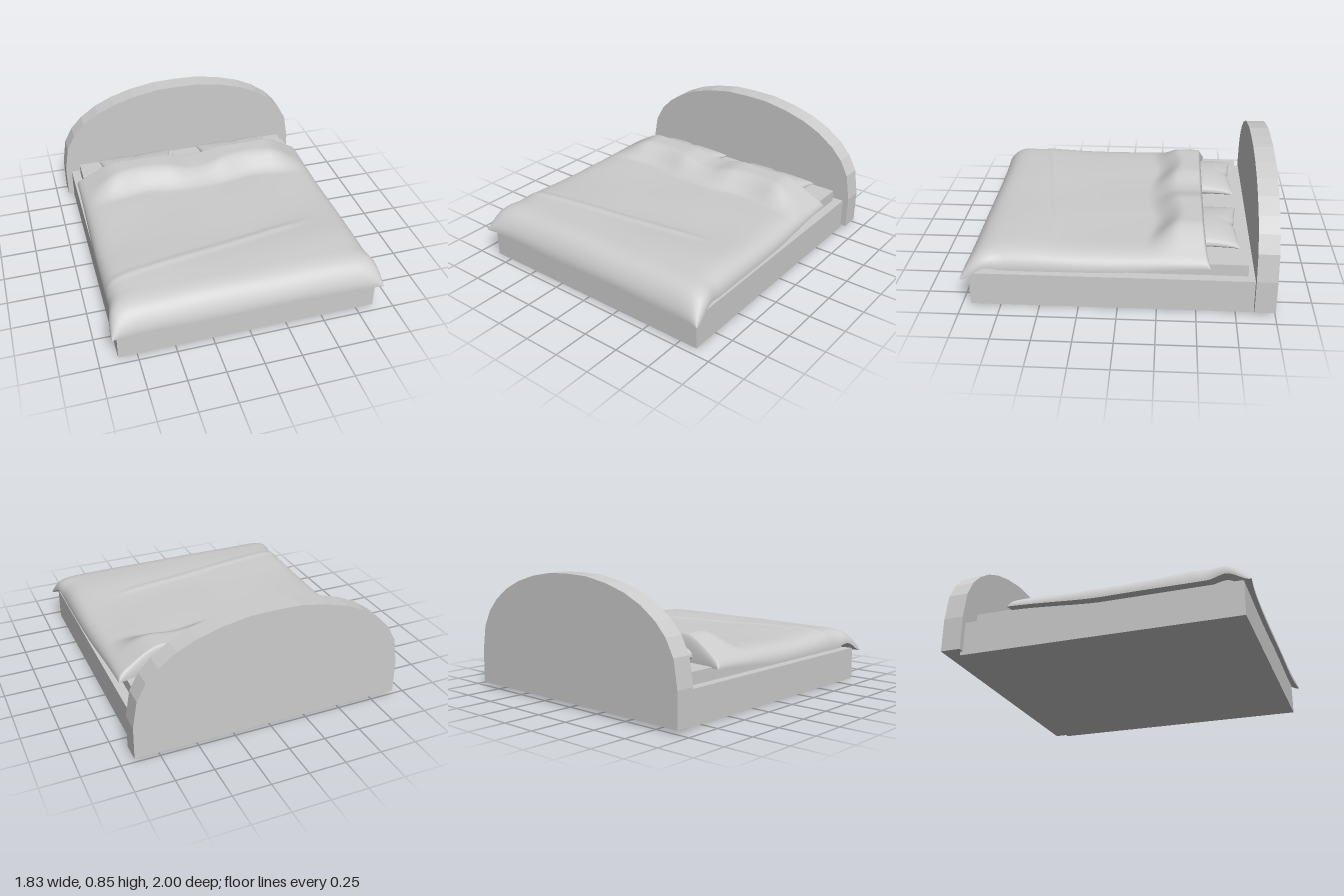
import * as THREE from 'three';

const { smoothstep, lerp } = THREE.MathUtils;
const gauss = (d, w) => Math.exp(-(d * d) / (w * w));

// Smooth grid surface from a rule (i, j in 0..1); i runs along +x, j along +z
function surface(nu, nv, rule, faceDown = false) {
  const pos = [], idx = [];
  for (let j = 0; j <= nv; j++)
    for (let i = 0; i <= nu; i++) pos.push(...rule(i / nu, j / nv));
  for (let j = 0; j < nv; j++)
    for (let i = 0; i < nu; i++) {
      const a = j * (nu + 1) + i, b = a + 1, c = a + nu + 1, d = c + 1;
      if (faceDown) idx.push(a, b, c, b, d, c);
      else idx.push(a, c, b, b, c, d);
    }
  const g = new THREE.BufferGeometry();
  g.setAttribute('position', new THREE.Float32BufferAttribute(pos, 3));
  g.setIndex(idx);
  g.computeVertexNormals();
  return g;
}

// Piecewise linear lookup in [x, y] pairs, eased between the points
function lookup(table, x) {
  for (let k = 1; k < table.length; k++) {
    const [x0, y0] = table[k - 1], [x1, y1] = table[k];
    if (x <= x1) return lerp(y0, y1, smoothstep(x, x0, x1));
  }
  return table[table.length - 1][1];
}

// Duvet: lower hem height along the bed
const HEAD = -0.555, FOOT = 0.975;
const HEM = [[-0.6, 0.3], [0.1, 0.258], [0.72, 0.256], [0.82, 0.275], [0.97, 0.202]];

// Duvet: upper height, raised over the two pillows, with soft folds
function duvetHeight(x, z) {
  const ax = Math.abs(x);
  const overPillows = (1 - smoothstep(ax, 0.56, 0.86)) * (0.62 + 0.38 * smoothstep(ax, 0.02, 0.24));
  const start = -0.17 - 0.05 * gauss(ax - 0.4, 0.2);
  const rise = 1 - smoothstep(z, start - 0.2, start);
  const foldLine = z - (0.5 - 0.16 * x);
  return 0.376 + 0.105 * overPillows * rise
    + 0.014 * gauss(z - 0.62, 0.22)
    + 0.007 * gauss(foldLine, 0.025) * smoothstep(0.65 - x, 0, 0.3)
    + 0.003 * Math.sin(x * 7 + z * 3) * Math.cos(z * 6 - x * 2);
}

function duvetPoint(i, j, top) {
  const s = Math.sin((i - 0.5) * Math.PI);
  // Rows gather at the rounded head and foot ends
  let z;
  if (j < 0.1) z = HEAD + 0.03 * (1 - Math.cos(j * 5 * Math.PI));
  else if (j > 0.8) z = FOOT - 0.2 * (1 - Math.sin((1 - (j - 0.8) / 0.2 + 0) * Math.PI / 2 + Math.PI / 2));
  else z = lerp(HEAD + 0.03, FOOT - 0.2, (j - 0.1) / 0.7);
  if (j > 0.8) z = FOOT - 0.2 * (1 - Math.sin(((j - 0.8) / 0.2) * Math.PI / 2));
  const half = 0.865 + 0.015 * smoothstep(z, -0.5, 0.4) + 0.03 * smoothstep(z, 0.72, 0.95);
  const x = s * half;
  const hem = lookup(HEM, z) + 0.005 * Math.sin(x * 6) * smoothstep(z, 0.8, 0.97);
  let y = hem;
  if (top) {
    const across = Math.sqrt(Math.max(0, 1 - Math.abs(s) ** 14));
    const dh = Math.min(1, (z - HEAD) / 0.03), df = Math.min(1, (FOOT - z) / 0.2);
    const along = Math.sqrt(Math.max(0, (1 - (1 - dh) ** 2) * (1 - (1 - df) ** 2)));
    y += (duvetHeight(x, z) - hem) * across * along;
  }
  // Corners stretch outward
  const corner = Math.abs(s) ** 6;
  z += 0.022 * corner * smoothstep(z, 0.6, FOOT) - 0.03 * corner * (1 - smoothstep(z, HEAD, -0.2));
  return [x, y, z];
}

// Pillow with pinched corners and a small crease at the middle of its long edges
function pillowPoint(i, j, side) {
  const u = Math.sin((i - 0.5) * Math.PI), v = Math.sin((j - 0.5) * Math.PI);
  const puff = Math.max(0, (1 - u * u) * (1 - v * v)) ** 0.4;
  const crease = 0.014 * gauss(u, 0.12) * Math.abs(v) ** 3;
  const x = u * (0.28 - 0.03 * (1 - v * v));
  const z = v * (0.225 - 0.024 * (1 - u * u) - crease);
  const y = side > 0 ? puff * (0.072 - crease) : -0.04 * puff;
  return [x, y, z];
}

export function createModel() {
  const bed = new THREE.Group();
  bed.name = 'bed';
  const grey = new THREE.MeshStandardMaterial({ color: 0xcccccc });
  grey.name = 'light grey';

  const add = (name, geometry, parent = bed) => {
    const mesh = new THREE.Mesh(geometry, grey);
    mesh.name = name;
    parent.add(mesh);
    return mesh;
  };
  const box = (name, x, y0, y1, z0, z1) =>
    add(name, new THREE.BoxGeometry(2 * x, y1 - y0, z1 - z0))
      .position.set(0, (y0 + y1) / 2, (z0 + z1) / 2);

  // Base and mattress
  box('base', 0.873, 0, 0.225, -0.885, 0.945);
  box('mattress', 0.81, 0.22, 0.305, -0.825, 0.885);

  // Arched headboard, faceted along the curve
  const arch = [[0.915, 0.025], [0.915, 0.25], [0.885, 0.43], [0.825, 0.54], [0.745, 0.625],
    [0.63, 0.705], [0.5, 0.765], [0.345, 0.81], [0.17, 0.84], [0, 0.845]];
  const outline = arch.concat(arch.slice(0, -1).reverse().map(([x, y]) => [-x, y]));
  const shape = new THREE.Shape(outline.map(([x, y]) => new THREE.Vector2(x, y)));
  add('headboard', new THREE.ExtrudeGeometry(shape, { depth: 0.133, bevelEnabled: false }))
    .position.z = -1;

  // Pillows
  for (const side of [1, -1]) {
    const pillow = new THREE.Group();
    pillow.name = side > 0 ? 'leftPillow' : 'rightPillow';
    add('pillowTop', surface(32, 28, (i, j) => pillowPoint(i, j, 1)), pillow);
    add('pillowUnderside', surface(32, 28, (i, j) => pillowPoint(i, j, -1), true), pillow);
    pillow.position.set(side * 0.388, 0.343, -0.553);
    bed.add(pillow);
  }

  // Duvet
  const duvet = new THREE.Group();
  duvet.name = 'duvet';
  add('duvetTop', surface(100, 120, (i, j) => duvetPoint(i, j, true)), duvet);
  add('duvetUnderside', surface(100, 120, (i, j) => duvetPoint(i, j, false), true), duvet);
  bed.add(duvet);

  return bed;
}
